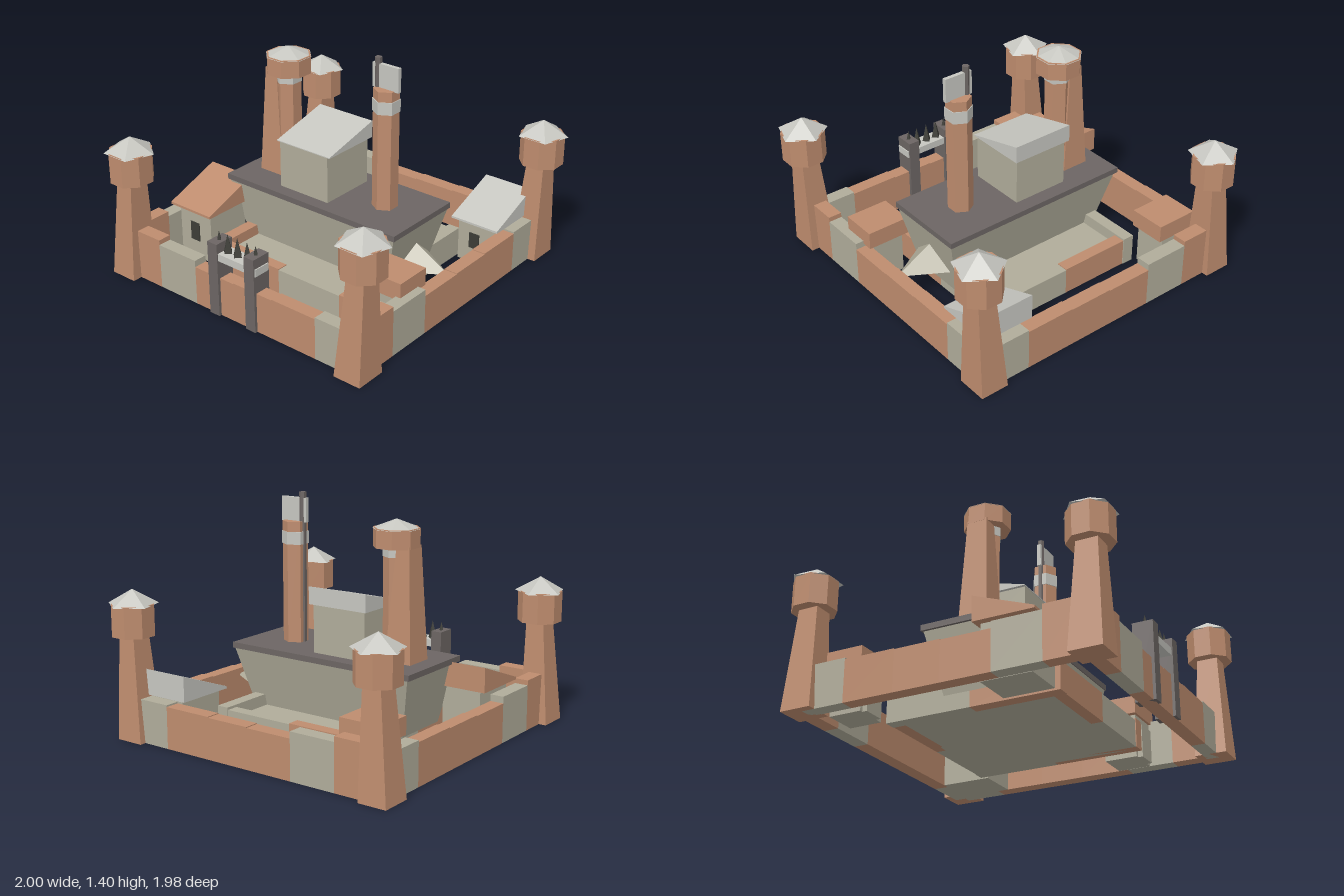
import * as THREE from 'three';

const material = (name, color) => {
  const m = new THREE.MeshStandardMaterial({ color });
  m.name = name;
  m.flatShading = true;
  return m;
};

export function createModel() {
  const root = new THREE.Group();
  root.name = 'castle';
  const clay = material('terracotta', 0xbe8c6e);
  const stone = material('stone', 0xb0ac9a);
  const pale = material('paleSlate', 0xc6c6c0);
  const dark = material('darkSlate', 0x6c6563);
  const iron = material('iron', 0x3c3c36);

  const add = (name, geo, mat, parent = root) => {
    const m = new THREE.Mesh(geo, mat);
    m.name = name;
    parent.add(m);
    return m;
  };
  // box given by its limits
  const box = (name, mat, x0, x1, y0, y1, z0, z1, parent) =>
    add(name, new THREE.BoxGeometry(x1 - x0, y1 - y0, z1 - z0)
      .translate((x0 + x1) / 2, (y0 + y1) / 2, (z0 + z1) / 2), mat, parent);
  // box whose bottom and top rectangles [x0, x1, z0, z1] differ
  const taper = (name, mat, y0, y1, low, high, parent) => {
    const g = new THREE.BoxGeometry(1, 1, 1), p = g.attributes.position;
    for (let i = 0; i < p.count; i++) {
      const r = p.getY(i) > 0 ? high : low;
      p.setXYZ(i, p.getX(i) > 0 ? r[1] : r[0], p.getY(i) > 0 ? y1 : y0, p.getZ(i) > 0 ? r[3] : r[2]);
    }
    g.computeVertexNormals();
    return add(name, g, mat, parent);
  };
  const prism = (name, mat, x, z, y0, y1, r0, r1, sides, turn = 0, parent) =>
    add(name, new THREE.CylinderGeometry(r1, r0, y1 - y0, sides)
      .rotateY(turn).translate(x, (y0 + y1) / 2, z), mat, parent);
  // single-pitch roof, low at the front and high at the back
  const shedRoof = (name, mat, x0, x1, zBack, zFront, yEave, yFront, yBack) => {
    const s = new THREE.Shape([
      new THREE.Vector2(-zFront, yEave), new THREE.Vector2(-zBack, yEave),
      new THREE.Vector2(-zBack, yBack), new THREE.Vector2(-zFront, yFront)]);
    const g = new THREE.ExtrudeGeometry(s, { depth: x1 - x0, bevelEnabled: false });
    add(name, g.rotateY(Math.PI / 2).translate(x0, 0, 0), mat);
  };

  // Outer walls in stepped sections: start, end, height, material
  const sections = [
    [-0.83, -0.62, 0.31, clay], [-0.62, -0.33, 0.28, stone], [-0.33, -0.03, 0.24, clay],
    [-0.03, 0.25, 0.245, clay], [0.25, 0.56, 0.25, clay], [0.56, 0.82, 0.26, stone]];
  for (const [a, b, h, m] of sections) {
    box('frontWall', m, a, b, 0, h, 0.82, 0.905);
    box('backWall', m, a, b, 0, h, -0.89, -0.8);
    box('rightWall', m, -0.925, -0.84, 0, h, -b, -a);
    box('leftWall', m, 0.78, 0.865, 0, h, -b, -a);
  }

  // Corner towers
  for (const x of [-0.858, 0.853]) for (const z of [0.866, -0.84]) {
    const t = new THREE.Group();
    t.name = 'cornerTower';
    t.position.set(x, 0, z);
    root.add(t);
    taper('towerShaft', clay, 0, 0.63, [-0.115, 0.06, -0.09, 0.1], [-0.058, 0.055, -0.06, 0.064], t);
    prism('towerHead', clay, 0, 0, 0.62, 0.805, 0.132, 0.132, 8, Math.PI / 8, t);
    prism('towerRoof', pale, 0, 0, 0.8, 0.89, 0.153, 0, 5, Math.PI, t);
  }

  // Inner yard with its low wall
  box('yardFloor', stone, -0.52, 0.46, 0, 0.11, -0.48, 0.5);
  for (const [z0, z1] of [[-0.52, -0.445], [0.465, 0.535]]) {
    box('yardWall', clay, -0.485, -0.03, 0, 0.17, z0, z1);
    box('yardWall', stone, -0.03, 0.425, 0, 0.165, z0, z1);
  }
  for (const [x0, x1] of [[-0.56, -0.485], [0.425, 0.5]]) {
    box('yardSideWall', stone, x0, x1, 0, 0.18, -0.525, 0);
    box('yardSideWall', clay, x0, x1, 0, 0.175, 0, 0.54);
  }

  // Flared keep with its wide deck
  taper('keep', stone, 0.05, 0.465, [-0.55, 0.5, -0.15, 0.2], [-0.645, 0.598, -0.25, 0.275]);
  box('keepDeck', dark, -0.66, 0.605, 0.46, 0.495, -0.26, 0.28);

  // Pointed porch on the side of the keep
  const porch = new THREE.BufferGeometry();
  const A = [0.48, 0.375, 0.01], B = [0.8, 0.2, 0.01], C = [0.48, 0.2, 0.2], D = [0.48, 0.2, -0.18];
  porch.setAttribute('position', new THREE.Float32BufferAttribute(
    [A, C, B, A, B, D, A, D, C, B, C, D].flat(), 3));
  porch.computeVertexNormals();
  add('porch', porch, stone);

  // Hall on the deck
  box('hall', stone, -0.3, 0.06, 0.495, 0.79, -0.17, 0.2);
  shedRoof('hallRoof', pale, -0.32, 0.08, -0.19, 0.205, 0.785, 0.79, 0.89);

  // Tall turrets
  for (const x of [-0.393, 0.333]) {
    prism('turretShaft', clay, x, 0.01, 0.49, 1.225, 0.076, 0.076, 6);
    prism('turretBand', pale, x, 0.01, 1.09, 1.165, 0.081, 0.081, 6);
  }
  taper('turretButtress', clay, 0.49, 1.16, [-0.555, -0.38, -0.085, 0.095], [-0.52, -0.435, -0.055, 0.07]);
  prism('turretHead', clay, -0.395, 0.005, 1.145, 1.255, 0.137, 0.137, 8, Math.PI / 8);
  prism('turretRoof', pale, -0.395, 0.005, 1.25, 1.305, 0.14, 0, 8, Math.PI / 8);

  // Flag
  prism('flagPole', dark, 0.277, 0.012, 0.49, 1.4, 0.021, 0.021, 6);
  box('flag', pale, 0.245, 0.425, 1.22, 1.365, 0, 0.025);

  // Sloped-roof houses with a dark window
  box('house', stone, -0.835, -0.585, 0, 0.34, 0.22, 0.52);
  shedRoof('houseRoof', clay, -0.88, -0.557, 0.19, 0.555, 0.325, 0.34, 0.475);
  box('houseWindow', iron, -0.75, -0.68, 0.12, 0.24, 0.519, 0.526);
  box('house', stone, 0.52, 0.78, 0, 0.28, -0.8, -0.49);
  shedRoof('houseRoof', pale, 0.485, 0.81, -0.825, -0.46, 0.272, 0.285, 0.425);
  box('houseWindow', iron, 0.6, 0.67, 0.1, 0.2, -0.491, -0.484);

  // Flat-topped sheds
  for (const [x, z] of [[0.678, 0.375], [-0.688, -0.64]]) {
    box('shed', stone, x - 0.1, x + 0.1, 0, 0.27, z - 0.1, z + 0.1);
    box('shedStep', stone, x - 0.08, x + 0.055, 0, 0.2, z + 0.1, z + 0.13);
    box('shedRoof', clay, x - 0.135, x + 0.135, 0.26, 0.367, z - 0.115, z + 0.115);
  }

  // Gate with spikes
  for (const x of [-0.17, 0.105]) {
    box('gatePost', dark, x - 0.036, x + 0.036, 0, 0.46, 0.8, 0.922);
    prism('postSpike', iron, x, 0.862, 0.455, 0.515, 0.016, 0, 4);
  }
  box('gateBeam', pale, -0.205, 0.148, 0.355, 0.4, 0.81, 0.915);
  for (const x of [-0.105, -0.032, 0.042])
    prism('gateSpike', iron, x, 0.862, 0.395, 0.515, 0.032, 0, 4);

  return root;
}
